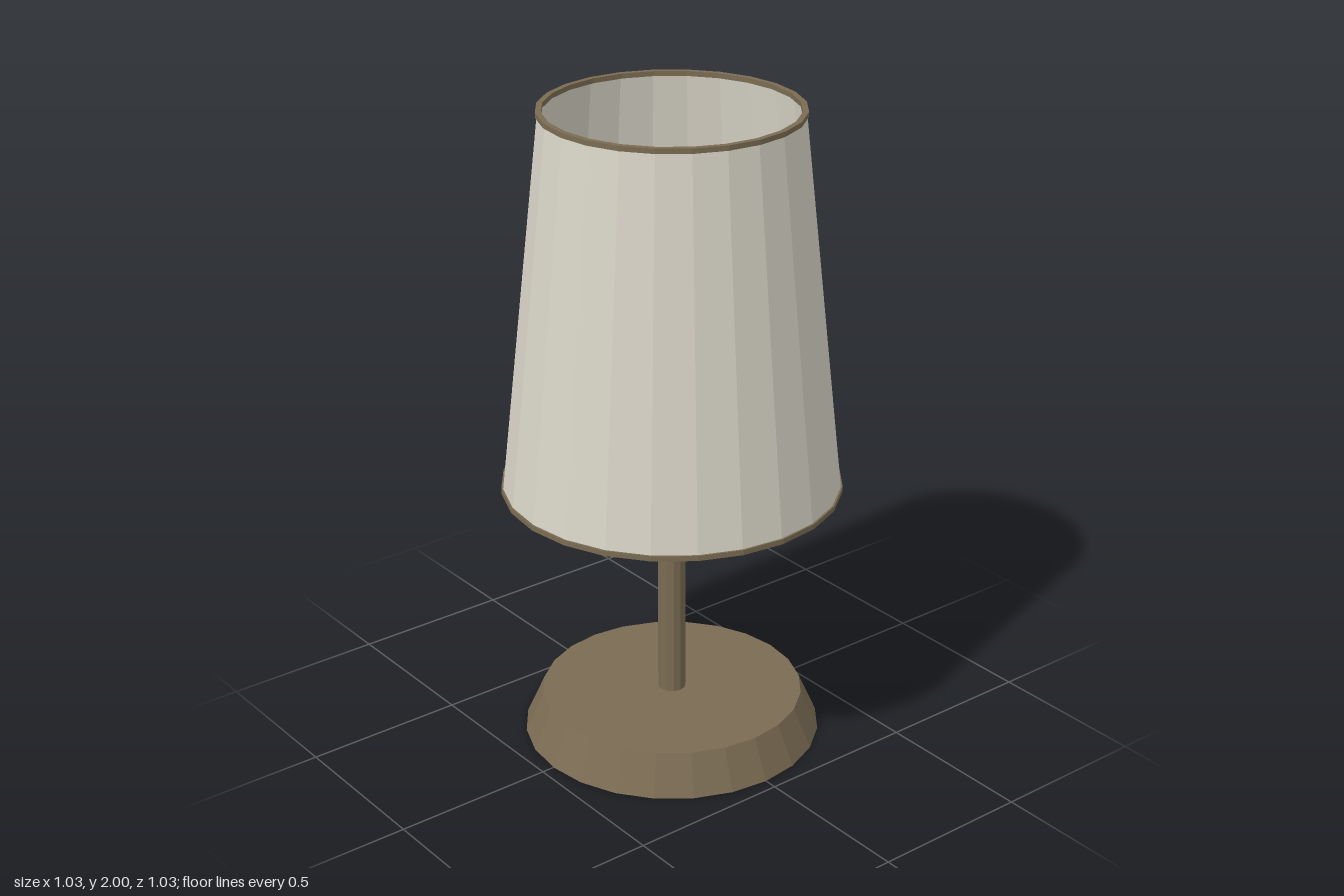
import * as THREE from 'three';

const SIDES = 24;

const brown = new THREE.MeshStandardMaterial({ color: 0x7b6c53, flatShading: true });
brown.name = 'bronze brown';
const cream = new THREE.MeshStandardMaterial({ color: 0xd8d4c7, flatShading: true, side: THREE.DoubleSide });
cream.name = 'cream fabric';

function part(name, geometry, material) {
  const mesh = new THREE.Mesh(geometry, material);
  mesh.name = name;
  return mesh;
}

// Upright frustum standing between two heights
function drum(name, rTop, rBottom, y0, y1, sides, material, open = false) {
  const geometry = new THREE.CylinderGeometry(rTop, rBottom, y1 - y0, sides, 1, open);
  geometry.translate(0, (y0 + y1) / 2, 0);
  return part(name, geometry, material);
}

// Flat trim ring with a rectangular section
function ring(name, outer, inner, y0, y1) {
  const profile = [[inner, y0], [outer, y0], [outer, y1], [inner, y1], [inner, y0]];
  return part(name, new THREE.LatheGeometry(profile.map(([r, y]) => new THREE.Vector2(r, y)), SIDES), brown);
}

// Thin straight rod between two points
function rod(name, a, b, radius) {
  const dir = b.clone().sub(a);
  const mesh = part(name, new THREE.CylinderGeometry(radius, radius, dir.length(), 6), brown);
  mesh.position.copy(a).add(b).multiplyScalar(0.5);
  mesh.quaternion.setFromUnitVectors(new THREE.Vector3(0, 1, 0), dir.normalize());
  return mesh;
}

export function createModel() {
  const lamp = new THREE.Group();
  lamp.name = 'tableLamp';

  // Weighted foot, stem and hub
  lamp.add(drum('base', 0.405, 0.46, 0, 0.125, SIDES, brown));
  lamp.add(drum('stem', 0.043, 0.043, 0.12, 1.09, 12, brown));
  lamp.add(drum('hub', 0.073, 0.073, 1.07, 1.13, 12, brown));

  // Tapered open shade with trim at both edges
  lamp.add(drum('shade', 0.382, 0.51, 0.835, 1.995, SIDES, cream, true));
  lamp.add(ring('topTrim', 0.387, 0.37, 1.985, 2));
  lamp.add(ring('bottomTrim', 0.515, 0.497, 0.826, 0.842));

  // Three sloping spokes carry the shade from the hub
  const spokes = new THREE.Group();
  spokes.name = 'spokes';
  for (let i = 0; i < 3; i++) {
    const a = (i * Math.PI * 2) / 3;
    const at = (r, y) => new THREE.Vector3(r * Math.cos(a), y, r * Math.sin(a));
    spokes.add(rod('spoke', at(0.05, 1.09), at(0.503, 0.84), 0.01));
  }
  lamp.add(spokes);

  return lamp;
}
